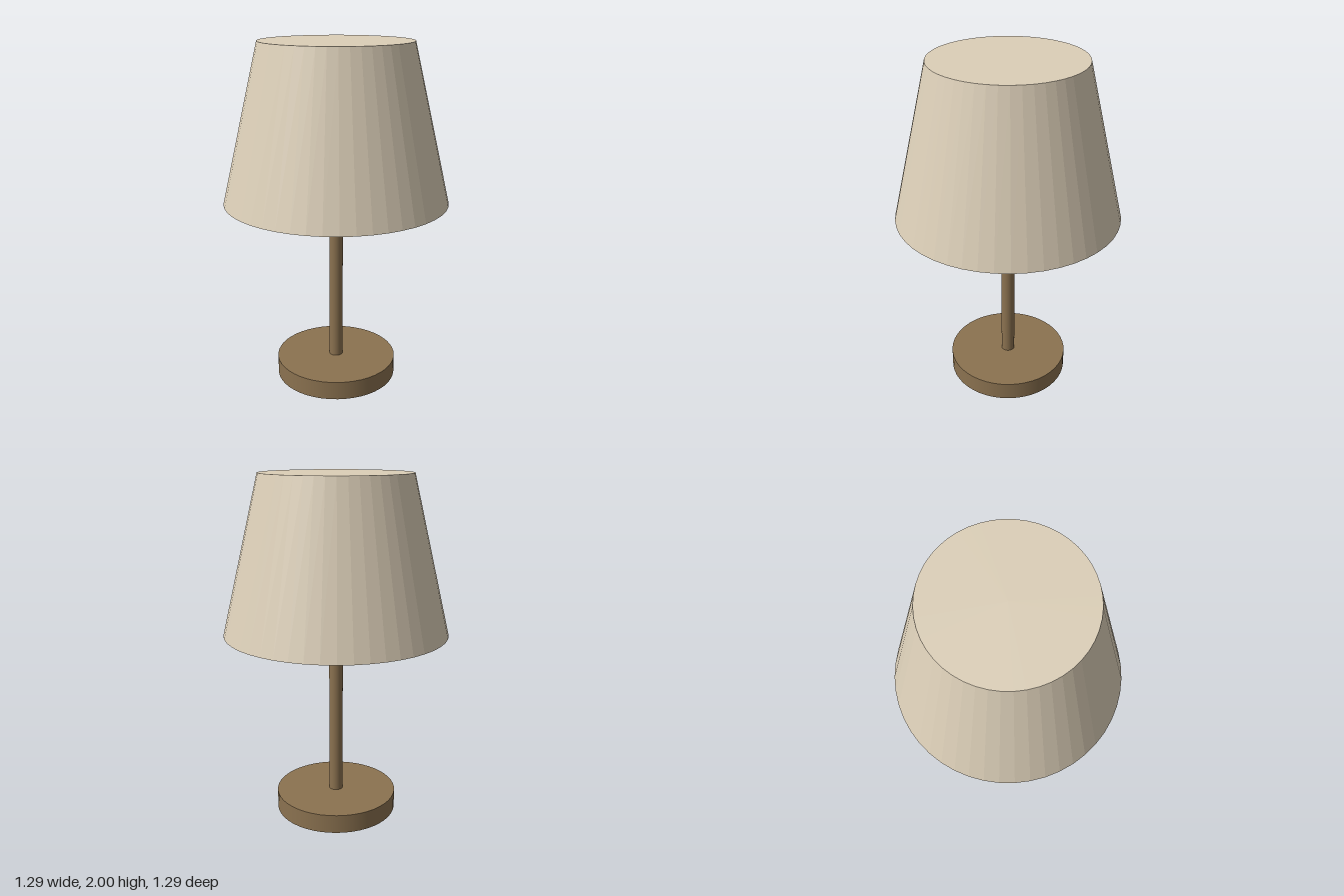
import * as THREE from 'three';

const wood = new THREE.MeshStandardMaterial({ color: 0x8b7250 });
const fabric = new THREE.MeshStandardMaterial({ color: 0xdccfb8, flatShading: true });

// Upright round part spanning y0 to y1
function roundPart(name, rTop, rBottom, y0, y1, material) {
  const geometry = new THREE.CylinderGeometry(rTop, rBottom, y1 - y0, 48);
  const mesh = new THREE.Mesh(geometry, material);
  mesh.name = name;
  mesh.position.y = (y0 + y1) / 2;
  return mesh;
}

export function createModel() {
  const lamp = new THREE.Group();
  lamp.name = 'tableLamp';
  lamp.add(
    // Flat disc foot
    roundPart('base', 0.358, 0.358, 0, 0.11, wood),
    // Slim post, ending just inside the shade
    roundPart('stem', 0.04, 0.04, 0.1, 1.12, wood),
    // Closed, faceted tapering shade
    roundPart('shade', 0.431, 0.646, 1.1, 2, fabric)
  );
  return lamp;
}
